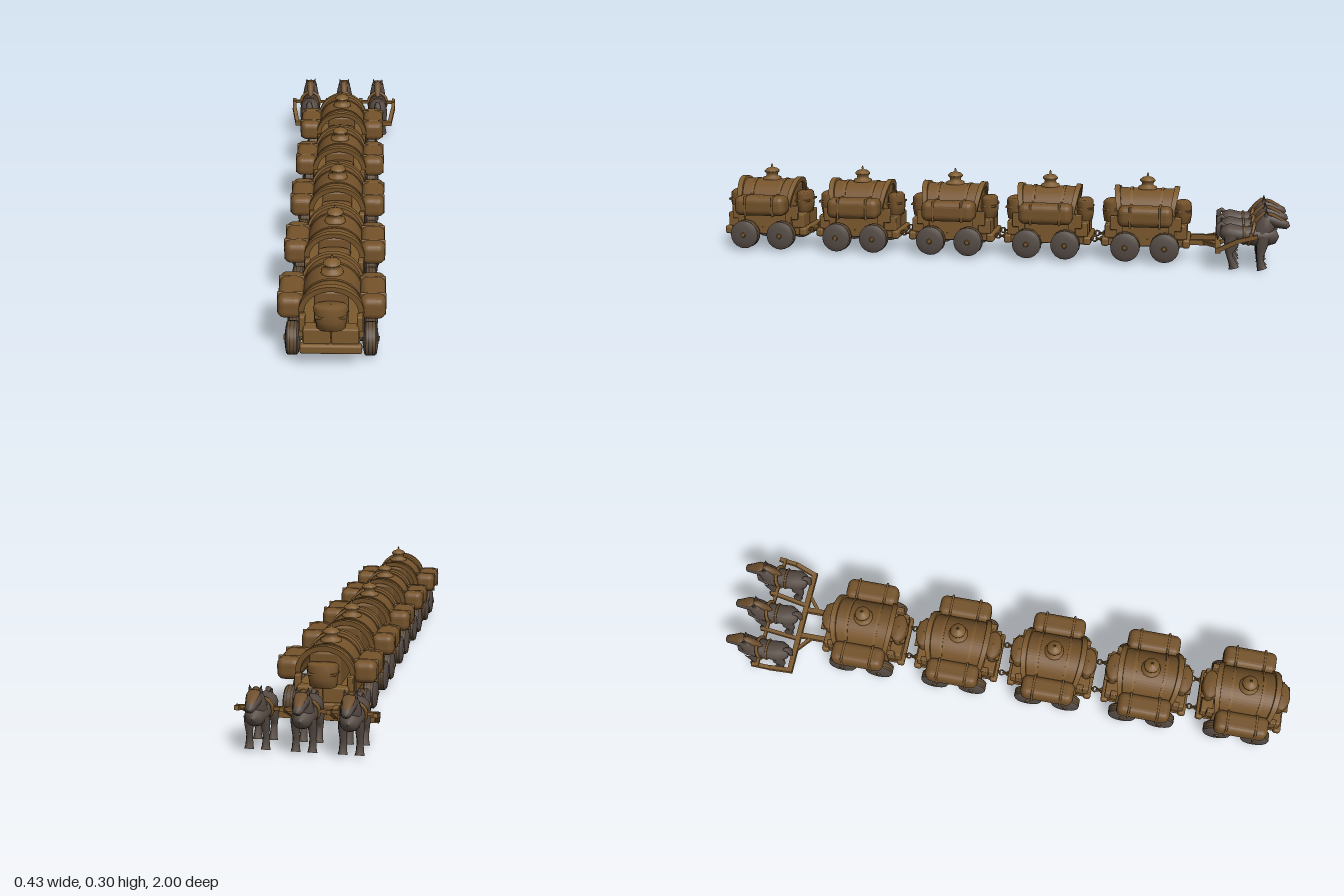
import * as THREE from 'three';
import { RoundedBoxGeometry } from 'three/addons/geometries/RoundedBoxGeometry.js';

const mat = (name, color) => {
  const m = new THREE.MeshStandardMaterial({ color });
  m.name = name;
  return m;
};

export function createModel() {
  const wood = mat('wood brown', 0x7d5a2e);
  const cloth = mat('canvas brown', 0x75532b);
  const tread = mat('tread brown', 0x5f4a32);
  const grey = mat('wheel grey', 0x564c46);
  const hide = mat('horse grey', 0x574b44);
  const dark = mat('underside dark', 0x2c241e);
  const mane = mat('mane brown', 0x6b4d2b);

  const add = (parent, name, geo, m, x = 0, y = 0, z = 0) => {
    const mesh = new THREE.Mesh(geo, m);
    mesh.name = name;
    mesh.position.set(x, y, z);
    parent.add(mesh);
    return mesh;
  };
  const box = (w, h, d) => new THREE.BoxGeometry(w, h, d);
  const rbox = (w, h, d, r) => new RoundedBoxGeometry(w, h, d, 3, r);
  const lathe = (pts, n) => new THREE.LatheGeometry(pts.map(p => new THREE.Vector2(...p)), n);
  // Square bar between two points
  const beam = (parent, name, a, b, t, m) => {
    const p = new THREE.Vector3(...a), q = new THREE.Vector3(...b);
    const mesh = add(parent, name, box(t, t, p.distanceTo(q) + t * 0.6), m);
    mesh.position.copy(p).add(q).multiplyScalar(0.5);
    mesh.lookAt(q);
  };
  // Elliptical rings [y, z, rx, r] swept along a path in the yz plane
  const loft = (rings, n = 12) => {
    const pos = [], idx = [];
    rings.forEach(([y, z, rx, r], i) => {
      const a = rings[Math.max(i - 1, 0)], b = rings[Math.min(i + 1, rings.length - 1)];
      const len = Math.hypot(b[0] - a[0], b[1] - a[1]);
      const ty = (b[0] - a[0]) / len, tz = (b[1] - a[1]) / len;
      for (let j = 0; j < n; j++) {
        const t = j / n * Math.PI * 2, s = r * Math.sin(t);
        pos.push(rx * Math.cos(t), y + tz * s, z - ty * s);
        if (i < rings.length - 1) {
          const k = i * n + j, l = i * n + (j + 1) % n;
          idx.push(k, l, k + n, l, l + n, k + n);
        }
      }
    });
    const g = new THREE.BufferGeometry();
    g.setAttribute('position', new THREE.Float32BufferAttribute(pos, 3));
    g.setIndex(idx);
    g.computeVertexNormals();
    return g;
  };
  // Half-ring tunnel whose ends lean outward towards the top
  const arch = (outer, inner, z0, z1) => {
    const s = new THREE.Shape();
    s.absarc(0, 0, outer, 0, Math.PI, false);
    s.absarc(0, 0, inner, Math.PI, 0, true);
    const g = new THREE.ExtrudeGeometry(s, { depth: z1 - z0, bevelEnabled: false, curveSegments: 14 });
    g.translate(0, 0, z0);
    const p = g.attributes.position;
    for (let i = 0; i < p.count; i++) p.setZ(i, p.getZ(i) * (1 + 0.2 * p.getY(i) / 0.095));
    g.computeVertexNormals();
    return g;
  };

  const wheelSide = lathe([[0.05, 0.013], [0.046, 0.018], [0.03, 0.021], [0.014, 0.023], [0, 0.023]], 20);
  const wheelTread = new THREE.CylinderGeometry(0.0505, 0.0505, 0.028, 20, 1, true);
  const hatch = lathe([[0.034, -0.006], [0.032, 0.002], [0.021, 0.006], [0.02, 0.016], [0.027, 0.022],
    [0.027, 0.026], [0.018, 0.034], [0.006, 0.037], [0.003, 0.041], [0.004, 0.045], [0, 0.052]], 14);

  const makeWheel = () => {
    const w = new THREE.Group();
    w.name = 'wheel';
    add(w, 'wheelTread', wheelTread, tread);
    for (const s of [0, Math.PI]) {
      const side = add(w, 'wheelSide', wheelSide, grey);
      side.rotation.x = s;
      add(side, 'hub', new THREE.CylinderGeometry(0.007, 0.01, 0.005, 10), wood, 0, 0.0245, 0);
    }
    for (const y of [-0.006, 0.006]) {
      const groove = add(w, 'treadGroove', new THREE.CylinderGeometry(0.0509, 0.0509, 0.002, 20, 1, true), dark);
      groove.position.y = y;
    }
    w.rotation.z = Math.PI / 2;
    return w;
  };

  const makeWagon = () => {
    const g = new THREE.Group();
    g.name = 'wagon';
    add(g, 'platform', box(0.168, 0.022, 0.28), wood, 0, 0.062, 0);
    add(g, 'underside', box(0.166, 0.004, 0.276), dark, 0, 0.0495, 0);
    add(g, 'lowerBody', box(0.166, 0.048, 0.21), wood, 0, 0.096, 0);
    add(g, 'cargo', rbox(0.1, 0.11, 0.2, 0.008), cloth, 0, 0.168, 0);
    add(g, 'canopy', arch(0.088, 0.079, -0.09, 0.09), cloth, 0, 0.15, 0);
    add(g, 'hatch', hatch, wood, 0, 0.242, 0);
    for (const z of [-0.045, 0.045]) add(g, 'canopyBand', arch(0.0905, 0.087, z - 0.004, z + 0.004), wood, 0, 0.15, 0);
    for (const s of [-1, 1]) {
      // Ends: bumper, split bench, bundle and arch rim
      add(g, 'bumper', rbox(0.182, 0.03, 0.026, 0.008), wood, 0, 0.06, s * 0.139);
      for (const x of [-0.041, 0.041]) add(g, 'benchPanel', rbox(0.08, 0.05, 0.042, 0.005), wood, x, 0.098, s * 0.12);
      const bundle = loft([[0.12, 0, 0.036, 0.012], [0.121, 0, 0.042, 0.026], [0.15, 0, 0.047, 0.031],
        [0.188, 0, 0.051, 0.029], [0.195, 0, 0.047, 0.022], [0.197, 0, 0.001, 0.001]], 16);
      add(g, 'endBundle', bundle, cloth, 0, 0, s * 0.124);
      add(g, 'bundleStrap', box(0.093, 0.006, 0.056), wood, 0, 0.165, s * 0.124);
      add(g, 'archRim', s > 0 ? arch(0.096, 0.079, 0.078, 0.094) : arch(0.096, 0.079, -0.094, -0.078), wood, 0, 0.15, 0);
      for (const x of [-0.087, 0.087]) {
        add(g, 'archPost', box(0.016, 0.082, 0.022), wood, x, 0.113, s * 0.088);
        add(g, 'postBracket', rbox(0.018, 0.05, 0.03, 0.004), wood, x * 0.96, 0.128, s * 0.107);
      }
      // Sides: bulging pannier with straps
      const podGeo = rbox(0.078, 0.07, 0.186, 0.022);
      const p = podGeo.attributes.position;
      for (let i = 0; i < p.count; i++) if (p.getX(i) * s > 0) p.setX(i, p.getX(i) * (1 - 0.1 * (p.getZ(i) / 0.093) ** 2));
      podGeo.computeVertexNormals();
      add(g, 'sidePannier', podGeo, cloth, s * 0.122, 0.159, 0);
      for (const z of [-0.05, 0.05]) add(g, 'pannierStrap', rbox(0.077, 0.073, 0.008, 0.02), wood, s * 0.1215, 0.159, z);
      for (const z of [-0.067, 0.067]) {
        const w = makeWheel();
        w.position.set(s * 0.115, 0.051, z);
        g.add(w);
      }
    }
    for (const z of [-0.067, 0.067]) {
      const axle = add(g, 'axle', new THREE.CylinderGeometry(0.008, 0.008, 0.2, 8), dark, 0, 0.051, z);
      axle.rotation.z = Math.PI / 2;
    }
    return g;
  };

  // Horse faces -z
  const makeHorse = () => {
    const h = new THREE.Group();
    h.name = 'horse';
    add(h, 'body', loft([[0.118, -0.77, 0.001, 0.001], [0.118, -0.778, 0.024, 0.022], [0.115, -0.8, 0.037, 0.033],
      [0.11, -0.84, 0.036, 0.03], [0.108, -0.88, 0.036, 0.033], [0.108, -0.925, 0.034, 0.034],
      [0.108, -0.955, 0.024, 0.024], [0.108, -0.966, 0.001, 0.001]]), hide);
    add(h, 'neck', loft([[0.1, -0.9, 0.032, 0.036], [0.135, -0.915, 0.032, 0.036], [0.16, -0.925, 0.027, 0.03],
      [0.18, -0.93, 0.018, 0.022], [0.184, -0.93, 0.001, 0.001]]), hide);
    add(h, 'head', loft([[0.168, -0.905, 0.001, 0.001], [0.168, -0.912, 0.02, 0.018], [0.164, -0.94, 0.025, 0.023],
      [0.152, -0.972, 0.018, 0.017], [0.146, -0.992, 0.014, 0.013], [0.144, -1.0, 0.001, 0.001]]), hide);
    add(h, 'blaze', loft([[0.185, -0.925, 0.001, 0.001], [0.183, -0.932, 0.018, 0.006], [0.179, -0.945, 0.02, 0.007],
      [0.165, -0.97, 0.014, 0.007], [0.155, -0.99, 0.01, 0.005], [0.15, -0.997, 0.001, 0.001]]), mane);
    add(h, 'mane', loft([[0.186, -0.93, 0.001, 0.001], [0.184, -0.917, 0.012, 0.01], [0.165, -0.898, 0.014, 0.012],
      [0.145, -0.88, 0.012, 0.01], [0.138, -0.865, 0.001, 0.001]], 8), mane);
    add(h, 'tail', loft([[0.135, -0.79, 0.006, 0.006], [0.146, -0.775, 0.009, 0.008], [0.14, -0.766, 0.012, 0.009],
      [0.115, -0.765, 0.013, 0.008], [0.09, -0.763, 0.001, 0.001]], 8), hide);
    for (const s of [-1, 1]) {
      const ear = add(h, 'ear', new THREE.ConeGeometry(0.009, 0.026, 6), hide, s * 0.016, 0.188, -0.922);
      ear.rotation.z = -s * 0.2;
      add(h, 'hindLeg', loft([[0, -0.82, 0.015, 0.018], [0.012, -0.817, 0.012, 0.013], [0.035, -0.807, 0.01, 0.01],
        [0.055, -0.803, 0.012, 0.014], [0.08, -0.81, 0.015, 0.024], [0.115, -0.81, 0.014, 0.024]], 8), hide, s * 0.024);
      add(h, 'foreLeg', loft([[0, -0.913, 0.015, 0.018], [0.012, -0.909, 0.012, 0.013], [0.04, -0.905, 0.01, 0.011],
        [0.08, -0.91, 0.014, 0.019], [0.11, -0.915, 0.014, 0.022]], 8), hide, s * 0.025);
    }
    const collar = add(h, 'collar', new THREE.TorusGeometry(0.038, 0.006, 6, 20), wood, 0, 0.116, -0.875);
    collar.rotation.x = -0.25;
    const strap = add(h, 'bellyStrap', new THREE.TorusGeometry(0.036, 0.004, 6, 20), wood, 0, 0.11, -0.85);
    strap.scale.y = 0.88;
    return h;
  };

  const model = new THREE.Group();
  model.name = 'wagonTrain';
  const centres = [0.845, 0.504, 0.163, -0.178, -0.519];
  centres.forEach((z, i) => {
    const w = makeWagon();
    w.position.z = z;
    model.add(w);
    // Chains to the wagon behind
    if (i) for (const x of [-0.053, 0.053]) for (let k = 0; k < 4; k++) {
      const link = add(model, 'chainLink', new THREE.TorusGeometry(0.009, 0.003, 6, 10), wood, x, 0.063, z + 0.1705 + (k - 1.5) * 0.014);
      link.rotation.set(k % 2 ? Math.PI / 2 : 0, k % 2 ? 0 : Math.PI / 2, 0);
    }
  });
  for (const x of [-0.14, 0, 0.14]) {
    const h = makeHorse();
    h.position.x = x;
    model.add(h);
  }
  // Harness frame
  const f = new THREE.Group();
  f.name = 'harnessFrame';
  model.add(f);
  beam(f, 'rearCrossbar', [-0.192, 0.064, -0.765], [0.192, 0.064, -0.765], 0.018, wood);
  beam(f, 'yokeBar', [-0.21, 0.116, -0.873], [0.21, 0.116, -0.873], 0.011, wood);
  for (const s of [-1, 1]) {
    beam(f, 'drawShaft', [s * 0.05, 0.062, -0.65], [s * 0.05, 0.062, -0.765], 0.018, wood);
    beam(f, 'shaftBrace', [s * 0.05, 0.062, -0.715], [s * 0.11, 0.062, -0.765], 0.012, wood);
    beam(f, 'innerArm', [s * 0.066, 0.064, -0.765], [s * 0.07, 0.116, -0.873], 0.013, wood);
    beam(f, 'innerArmTip', [s * 0.07, 0.116, -0.873], [s * 0.07, 0.118, -0.89], 0.013, wood);
    beam(f, 'outerArm', [s * 0.19, 0.064, -0.765], [s * 0.204, 0.1, -0.83], 0.015, wood);
    beam(f, 'outerArm', [s * 0.204, 0.1, -0.83], [s * 0.207, 0.116, -0.89], 0.014, wood);
  }
  return model;
}
